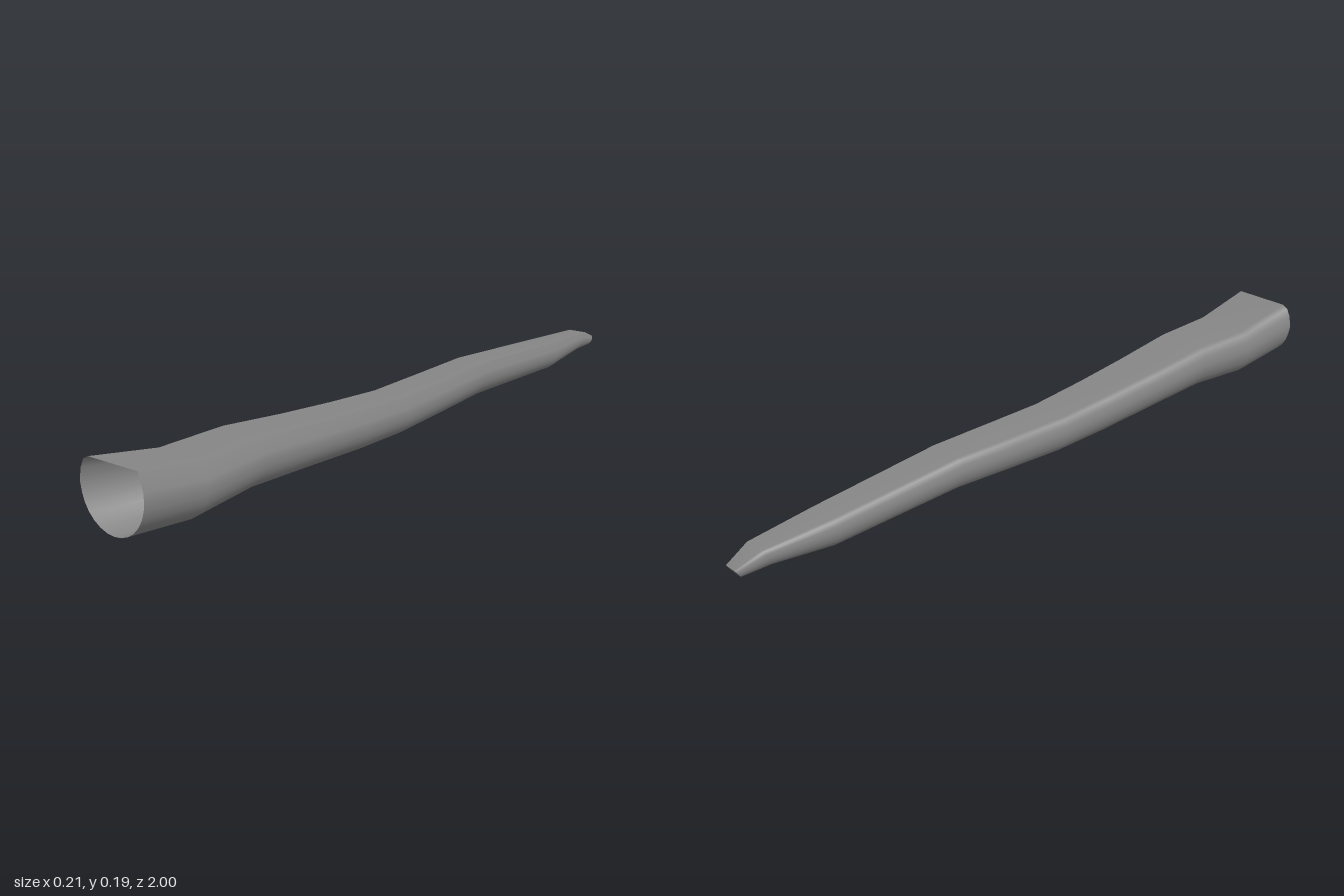
import * as THREE from 'three';

// Stations along the length: z at top, z at bottom, top y, bottom y, half width
const STATIONS = [
  [1, 1, 0.187, 0.015, 0.105],
  [0.8, 0.81, 0.157, 0, 0.097],
  [0.6, 0.61, 0.162, 0.022, 0.089],
  [0.4, 0.4, 0.147, 0.018, 0.081],
  [0.22, 0.2, 0.137, 0.013, 0.074],
  [0.04, 0.02, 0.13, 0.015, 0.069],
  [-0.15, -0.16, 0.138, 0.029, 0.065],
  [-0.34, -0.34, 0.147, 0.044, 0.06],
  [-0.73, -0.73, 0.131, 0.043, 0.051],
  [-0.93, -0.9, 0.125, 0.068, 0.036],
  [-1, -0.98, 0.098, 0.069, 0.021],
];

// Flat-topped section as [across -1..1, height 0..1], anticlockwise;
// it starts and ends at the top right corner, which keeps that edge sharp
function sectionProfile() {
  const points = [[0.86, 1], [-0.7, 1], [-0.86, 0.95], [-0.96, 0.82], [-1.02, 0.64]];
  const steps = 14;
  for (let i = 1; i <= steps; i++) {
    const a = Math.PI * (1 + i / steps);
    points.push([Math.cos(a), 0.62 + 0.62 * Math.sin(a)]);
  }
  points.push([0.99, 0.74], [0.86, 1]);
  return points;
}

function ringPoints([zTop, zBottom, top, bottom, half], profile) {
  return profile.map(([u, v]) => [
    u * half,
    bottom + v * (top - bottom),
    zBottom + v * (zTop - zBottom),
  ]);
}

function buildGeometry(positions, indices) {
  const geometry = new THREE.BufferGeometry();
  geometry.setAttribute('position', new THREE.Float32BufferAttribute(positions.flat(), 3));
  geometry.setIndex(indices);
  geometry.computeVertexNormals();
  return geometry;
}

export function createModel() {
  const group = new THREE.Group();
  group.name = 'hollowTaperedShaft';
  const material = new THREE.MeshStandardMaterial({ color: 0x868686, side: THREE.DoubleSide });
  const profile = sectionProfile();
  const n = profile.length;
  const rings = STATIONS.map((s) => ringPoints(s, profile));

  // Wavy tapered sleeve, open at the wide front end
  const indices = [];
  for (let i = 0; i < rings.length - 1; i++) {
    for (let j = 0; j < n - 1; j++) {
      const a = i * n + j, b = a + 1, c = a + n, d = b + n;
      indices.push(a, c, b, b, c, d);
    }
  }
  const sleeve = new THREE.Mesh(buildGeometry(rings.flat(), indices), material);
  sleeve.name = 'sleeve';
  group.add(sleeve);

  // Small cap closing the narrow tip
  const tip = rings[rings.length - 1];
  const centre = [0, 0.084, -0.99];
  const fan = [];
  for (let j = 0; j < n - 1; j++) fan.push(n, j + 1, j);
  const cap = new THREE.Mesh(buildGeometry([...tip, centre], fan), material);
  cap.name = 'tipCap';
  group.add(cap);

  return group;
}
